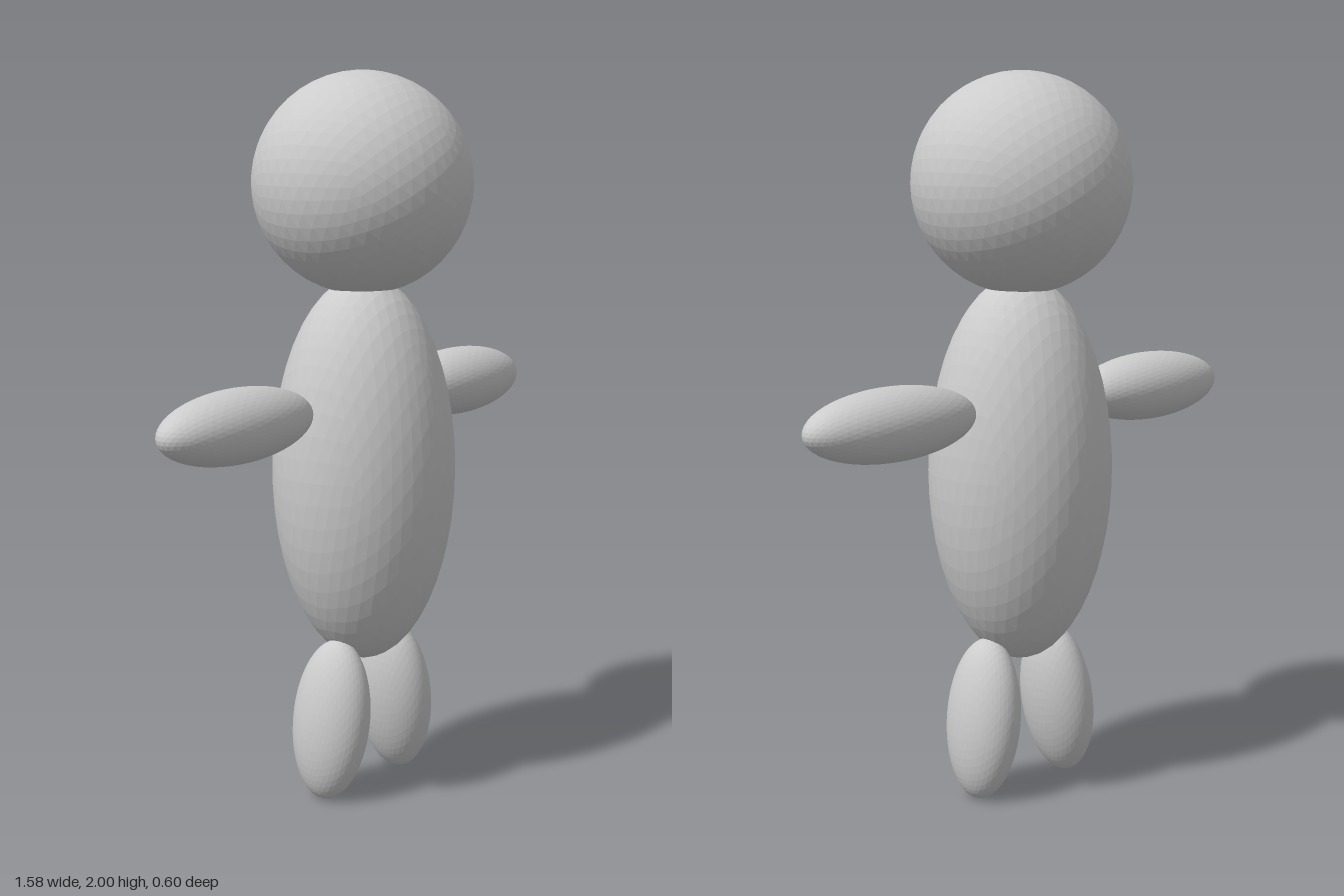
import * as THREE from 'three';

export function createModel() {
  const group = new THREE.Group();
  const material = new THREE.MeshStandardMaterial({ color: 0xcccccc, flatShading: true });
  const sphere = new THREE.IcosahedronGeometry(1, 8);

  // Every part is a stretched sphere: centre, radii and tilt
  function ellipsoid(name, centre, radii, tilt = [0, 0, 0]) {
    const mesh = new THREE.Mesh(sphere, material);
    mesh.name = name;
    mesh.position.set(...centre);
    mesh.scale.set(...radii);
    mesh.rotation.set(...tilt);
    group.add(mesh);
  }

  ellipsoid('head', [0, 1.7, 0], [0.302, 0.302, 0.302]);
  ellipsoid('body', [0, 0.912, 0.005], [0.261, 0.54, 0.25]);

  // Limbs, mirrored left (+x) and right (-x)
  for (const [side, s] of [['left', 1], ['right', -1]]) {
    ellipsoid(side + 'Arm', [s * 0.506, 1.098, -0.025], [0.286, 0.098, 0.108]);
    // Legs splay outwards towards the feet
    ellipsoid(side + 'Leg', [s * 0.149, 0.225, 0.003], [0.088, 0.225, 0.116], [0.03, 0, s * 0.13]);
  }
  return group;
}
